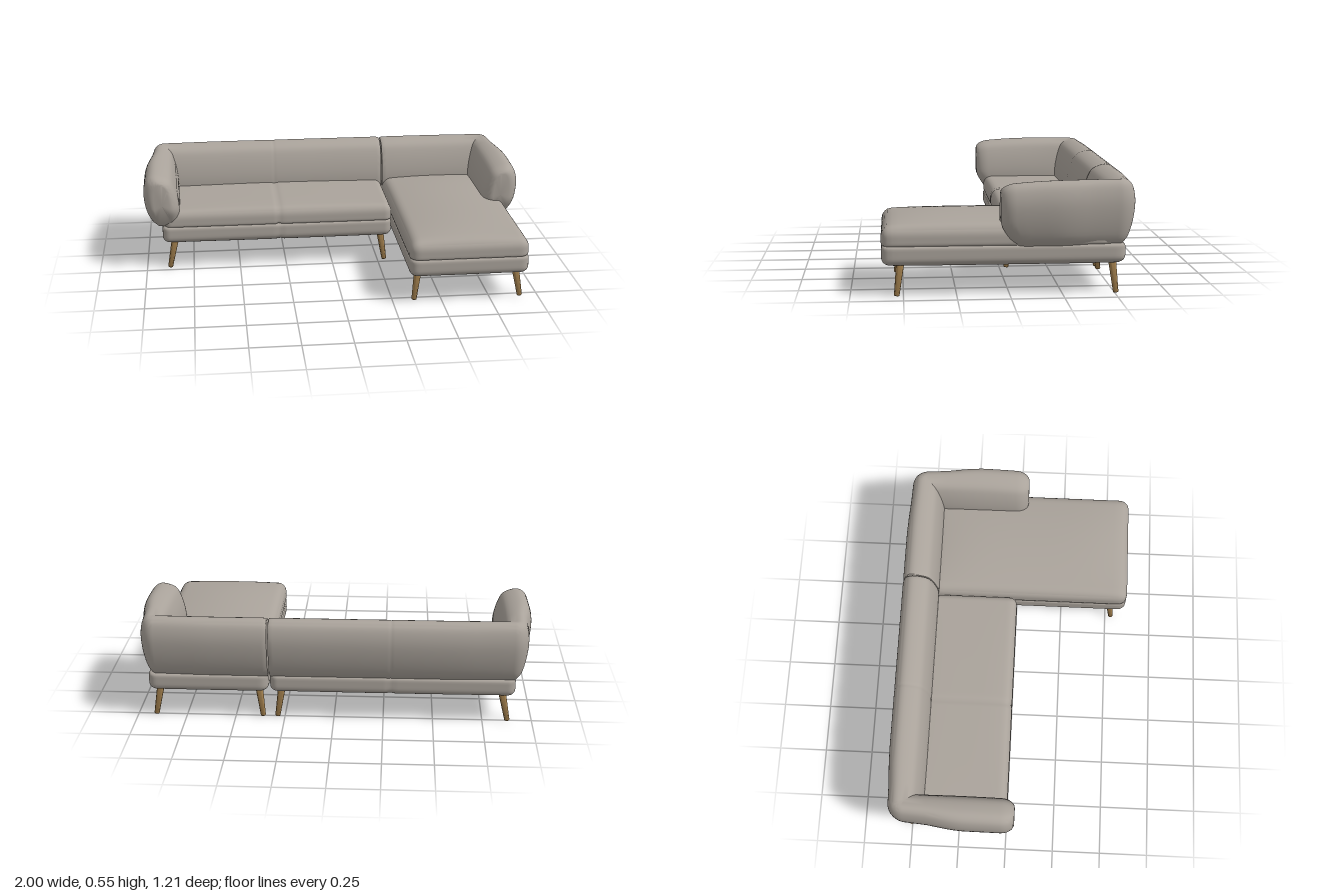
import * as THREE from 'three';
import { mergeVertices, toCreasedNormals } from 'three/addons/utils/BufferGeometryUtils.js';

const fabric = new THREE.MeshStandardMaterial({ name: 'warm grey upholstery', color: 0xaaa39b });
const wood = new THREE.MeshStandardMaterial({ name: 'oak wood', color: 0xa5824f });

const { lerp, smoothstep, clamp } = THREE.MathUtils;

function addMesh(group, name, geometry, material) {
  const mesh = new THREE.Mesh(geometry, material);
  mesh.name = name;
  group.add(mesh);
  return mesh;
}

// Rounded, slightly inflated box. r: horizontal, top and bottom edge radii.
function paddedBox({ x, y, z, r, top = 0, bottom = 0, seam = null, segments = 40 }) {
  const geo = new THREE.BoxGeometry(2, 2, 2, segments, 14, 28);
  const mid = [x, y, z].map(([a, b]) => (a + b) / 2);
  const half = [x, y, z].map(([a, b]) => (b - a) / 2);
  const pos = geo.attributes.position;
  for (let i = 0; i < pos.count; i++) {
    // vertices gather near the edges, where the curvature is
    const n = [pos.getX(i), pos.getY(i), pos.getZ(i)].map((t) => Math.sin((t * Math.PI) / 2));
    const p = n.map((t, k) => t * half[k]);
    const rad = [r[0], p[1] > 0 ? r[1] : r[2], r[0]];
    const core = p.map((v, k) => clamp(v, -half[k] + rad[k], half[k] - rad[k]));
    const off = p.map((v, k) => (v - core[k]) / rad[k]);
    const len = Math.hypot(...off) || 1;
    const q = core.map((v, k) => v + (off[k] / len) * rad[k]);
    // crown of the top and sag of the underside
    const swell = (1 - n[0] ** 2) * (1 - n[2] ** 4);
    q[1] += p[1] > 0 ? top * swell * (p[1] / half[1]) : bottom * swell * (p[1] / half[1]);
    // stitched groove across the width
    if (seam !== null) {
      const g = 0.006 * Math.exp(-(((q[0] + mid[0] - seam) / 0.009) ** 2));
      q[1] *= 1 - g / half[1];
      q[2] *= 1 - g / half[2];
    }
    pos.setXYZ(i, q[0] + mid[0], q[1] + mid[1], q[2] + mid[2]);
  }
  geo.deleteAttribute('uv');
  geo.deleteAttribute('normal');
  geo.clearGroups();
  const merged = mergeVertices(geo, 1e-5);
  merged.computeVertexNormals();
  return merged;
}

// Cross-section of the back and arm cushion: [outward offset, height]
const section = new THREE.SplineCurve([
  [-0.05, 0.235], [-0.08, 0.255], [-0.09, 0.33], [-0.085, 0.4], [-0.065, 0.475],
  [-0.035, 0.525], [0.03, 0.548], [0.07, 0.532], [0.09, 0.49], [0.096, 0.43],
  [0.085, 0.35], [0.06, 0.275], [0.025, 0.235],
].map(([u, h]) => new THREE.Vector2(u, h))).getPoints(48);
section.push(section[0].clone());

const CORNER = { x: 0.89, z: -0.505, kx: 0.78, kz: 0.92 };
const scaledY = (h, s) => 0.39 + (h - 0.39) * s;

// Sweeps the section from the arm front, round the corner and along the back.
// Built for the +x side; mirror = -1 makes the other one.
function armAndBack(mirror, backStations) {
  const rings = [];
  const addRing = (fn) => rings.push(section.map((p) => fn(p.x, p.y)));

  const armRing = (z, su, sy) => addRing((u, h) => {
    const t = smoothstep(z, CORNER.z, -0.2);
    const y0 = scaledY(h, sy);
    const drop = z > -0.3 ? 0.015 * ((z + 0.3) / 0.3) ** 2 : 0;
    const y = y0 - (drop * (y0 - 0.235)) / 0.315;
    const slant = 0.055 * (1 - smoothstep(y, 0.23, 0.36)) * smoothstep(z, -0.42, 0);
    return [lerp(CORNER.x, 0.905, t) + u * su * lerp(CORNER.kx, 1, t), y, z - slant];
  });

  // rounded arm front
  armRing(0.045, 0.001, 0.001);
  for (let i = 0; i <= 8; i++) {
    const a = (i / 8) * (Math.PI / 2);
    armRing(0.045 - 0.07 * (1 - Math.cos(a)), 0.45 + 0.55 * Math.sin(a), 0.78 + 0.22 * Math.sin(a));
  }
  // straight arm
  for (let i = 1; i <= 8; i++) armRing(lerp(-0.025, -0.4, i / 8), 1, 1);
  // corner: mitred inside, rounded outside
  for (let i = 0; i <= 10; i++) {
    const a = (i / 10) * (Math.PI / 2);
    const cx = CORNER.kx * Math.cos(a), cz = CORNER.kz * Math.sin(a);
    addRing((u, h) => u > 0
      ? [CORNER.x + u * cx, h, CORNER.z - u * cz]
      : [CORNER.x + u * CORNER.kx, h, CORNER.z - u * CORNER.kz]);
  }
  // back
  for (const [x, s] of backStations) {
    const t = 1 - smoothstep(x, 0.6, CORNER.x);
    addRing((u, h) => [x, scaledY(h, s), lerp(CORNER.z, -0.51, t) - u * s * lerp(CORNER.kz, 1, t)]);
  }

  const n = section.length;
  const points = rings.flat(2).map((v, i) => (i % 3 === 0 ? v * mirror : v));
  const index = [];
  for (let i = 0; i < rings.length - 1; i++) {
    for (let j = 0; j < n - 1; j++) {
      const a = i * n + j, b = a + 1, c = a + n, d = c + 1;
      if (mirror > 0) index.push(a, b, c, b, d, c);
      else index.push(a, c, b, b, c, d);
    }
  }
  const geo = new THREE.BufferGeometry();
  geo.setAttribute('position', new THREE.Float32BufferAttribute(points, 3));
  geo.setIndex(index);
  return toCreasedNormals(geo, 0.65);
}

// Pinched, closed end of a back cushion
const backEnd = (x) => [[x + 0.025, 1], [x + 0.01, 0.992], [x + 0.003, 0.98], [x, 0.955], [x, 0.001]];

// Splayed tapered leg from the floor up into the base
function leg(group, name, foot, head) {
  const a = new THREE.Vector3(foot[0], 0.004, foot[1]);
  const b = new THREE.Vector3(head[0], 0.17, head[1]);
  const dir = b.clone().sub(a);
  const h = dir.length();
  const profile = [[0, 0], [0.009, 0], [0.013, 0.004], [0.0195, h], [0, h]]
    .map(([r, y]) => new THREE.Vector2(r, y));
  const geo = toCreasedNormals(new THREE.LatheGeometry(profile, 20), 0.8);
  const mesh = addMesh(group, name, geo, wood);
  mesh.position.copy(a);
  mesh.quaternion.setFromUnitVectors(new THREE.Vector3(0, 1, 0), dir.normalize());
}

export function createModel() {
  const model = new THREE.Group();
  model.name = 'cornerSofa';

  // Two-seat module
  const sofa = new THREE.Group();
  sofa.name = 'sofaModule';
  addMesh(sofa, 'sofaBase', paddedBox({
    x: [-0.91, 0.322], y: [0.15, 0.246], z: [-0.55, 0.005],
    r: [0.04, 0.016, 0.035], bottom: 0.006, seam: -0.285, segments: 120,
  }), fabric);
  addMesh(sofa, 'sofaSeat', paddedBox({
    x: [-0.9, 0.322], y: [0.236, 0.329], z: [-0.5, 0.004],
    r: [0.04, 0.045, 0.014], top: 0.01, seam: -0.285, segments: 120,
  }), fabric);
  addMesh(sofa, 'sofaArmAndBack', armAndBack(-1, [
    [0.8, 1], [0.7, 1], [0.6, 1], [0.45, 1], [0.305, 1], [0.292, 0.995], [0.285, 0.982],
    [0.278, 0.995], [0.265, 1], [0.1, 1], [-0.1, 1], ...backEnd(-0.322),
  ]), fabric);

  // Chaise module
  const chaise = new THREE.Group();
  chaise.name = 'chaiseModule';
  addMesh(chaise, 'chaiseBase', paddedBox({
    x: [0.328, 0.937], y: [0.148, 0.246], z: [-0.55, 0.602],
    r: [0.045, 0.016, 0.035], bottom: 0.01,
  }), fabric);
  addMesh(chaise, 'chaiseSeat', paddedBox({
    x: [0.328, 0.935], y: [0.236, 0.328], z: [-0.48, 0.603],
    r: [0.05, 0.05, 0.014], top: 0.032,
  }), fabric);
  addMesh(chaise, 'chaiseArmAndBack', armAndBack(1, [
    [0.8, 1], [0.7, 1], [0.6, 1], [0.45, 1], ...backEnd(0.328),
  ]), fabric);

  // Legs: [foot x, head x] with [foot z, head z]
  const addLegs = (group, prefix, xs, zs) => xs.forEach(([fx, hx], i) => zs.forEach(([fz, hz], j) => {
    leg(group, `${prefix}${j ? 'Back' : 'Front'}${i ? 'Left' : 'Right'}Leg`, [fx, fz], [hx, hz]);
  }));
  addLegs(sofa, 'sofa', [[-0.877, -0.843], [0.287, 0.263]], [[-0.035, -0.05], [-0.505, -0.488]]);
  addLegs(chaise, 'chaise', [[0.36, 0.382], [0.908, 0.88]], [[0.532, 0.512], [-0.505, -0.488]]);

  model.add(sofa, chaise);
  return model;
}
